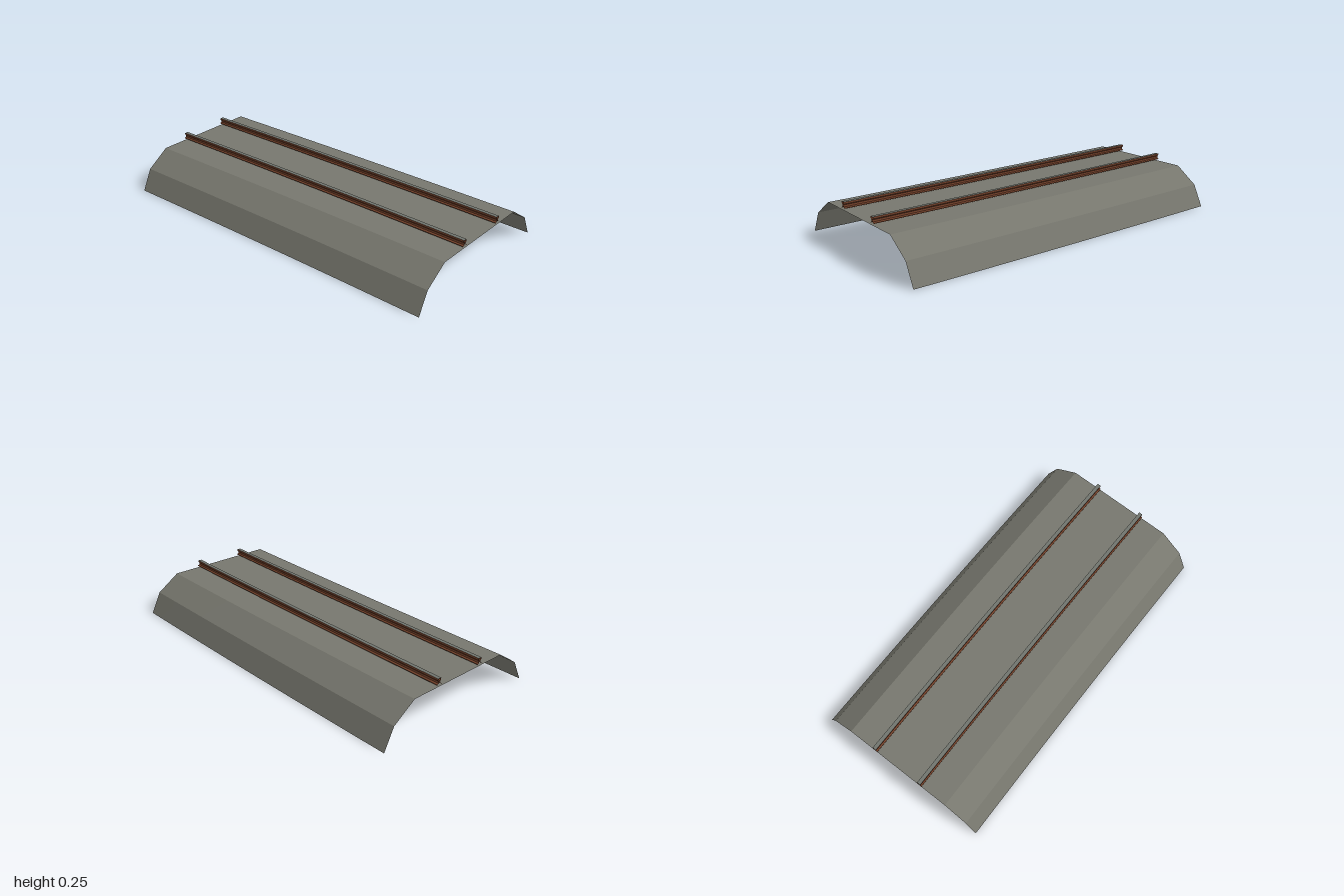
import * as THREE from 'three';

const RADIUS = 81, ANGLE = 0.02455, STEPS = 8;

// Point on the gently curving track: u across, y up, t from 0 (front) to 1 (back)
function trackPoint(u, y, t) {
  const a = ANGLE * t;
  return [0.012 - RADIUS + (RADIUS + u) * Math.cos(a), y, 1 - (RADIUS + u) * Math.sin(a)];
}

// Sweep an open profile (left to right) along the track, with a hard edge at each profile point
function sweep(name, profile, material) {
  const positions = [], indices = [];
  for (let p = 0; p < profile.length - 1; p++) {
    const base = positions.length / 3;
    for (let s = 0; s <= STEPS; s++) {
      positions.push(...trackPoint(...profile[p], s / STEPS));
      positions.push(...trackPoint(...profile[p + 1], s / STEPS));
    }
    for (let s = 0; s < STEPS; s++) {
      const a = base + s * 2;
      indices.push(a, a + 1, a + 2, a + 1, a + 3, a + 2);
    }
  }
  const geometry = new THREE.BufferGeometry();
  geometry.setAttribute('position', new THREE.Float32BufferAttribute(positions, 3));
  geometry.setIndex(indices);
  geometry.computeVertexNormals();
  const mesh = new THREE.Mesh(geometry, material);
  mesh.name = name;
  return mesh;
}

export function createModel() {
  const gravel = new THREE.MeshStandardMaterial({ color: 0x77776e, side: THREE.DoubleSide });
  gravel.name = 'gravel grey';
  const rust = new THREE.MeshStandardMaterial({ color: 0x74412a, side: THREE.DoubleSide });
  rust.name = 'rust brown';
  const steel = new THREE.MeshStandardMaterial({ color: 0x70746e, side: THREE.DoubleSide });
  steel.name = 'worn steel';

  const model = new THREE.Group();
  model.name = 'curvedTrack';

  // Ballast bed: flat top with two slopes on each side
  const slope = [[0.512, 0], [0.452, 0.12], [0.32, 0.21]];
  const mirrored = slope.map(([u, y]) => [-u, y]);
  model.add(sweep('ballastBed', [...mirrored, ...slope.slice().reverse()], gravel));

  // Rail side from foot to head, as half widths and heights
  const side = [[0.015, 0.22], [0.015, 0.223], [0.005, 0.227], [0.005, 0.238],
    [0.0105, 0.244], [0.0105, 0.254]];
  for (const [name, centre] of [['rightRail', -0.15], ['leftRail', 0.15]]) {
    const rail = new THREE.Group();
    rail.name = name;
    const left = side.map(([u, y]) => [centre - u, y]);
    const right = side.map(([u, y]) => [centre + u, y]).reverse();
    rail.add(sweep('railOuterSide', left, rust));
    rail.add(sweep('railInnerSide', right, rust));
    rail.add(sweep('railRunningSurface', [left[left.length - 1], right[0]], steel));
    model.add(rail);
  }
  return model;
}
